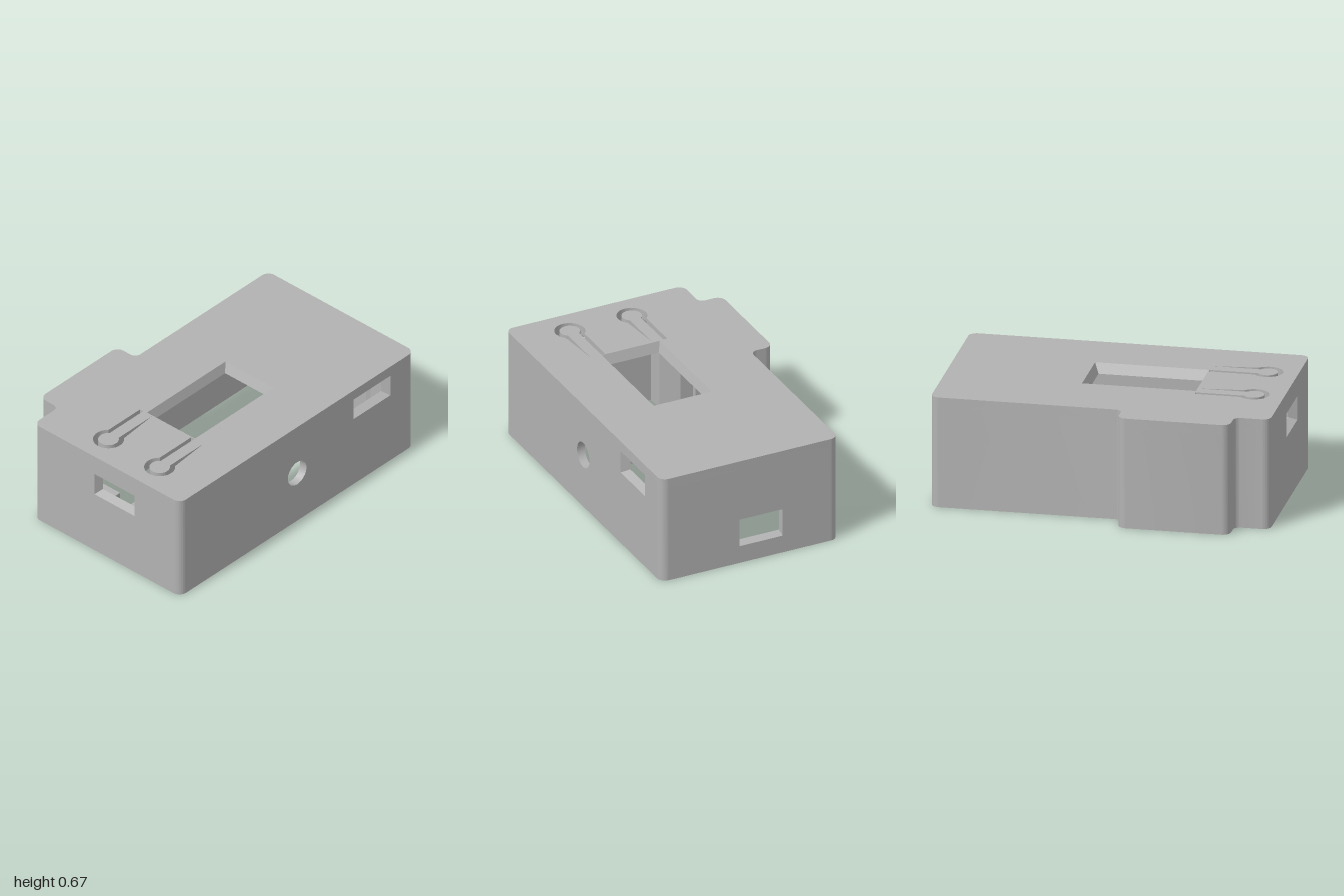
import * as THREE from 'three';
import { toCreasedNormals } from 'three/addons/utils/BufferGeometryUtils.js';

const plastic = new THREE.MeshStandardMaterial({ color: 0xb2b2b2, side: THREE.DoubleSide });
plastic.name = 'grey plastic';

const HEIGHT = 0.67, ROOF = 0.06, WALL = 0.05, CEIL = HEIGHT - ROOF;

function add(parent, name, geometry) {
  const mesh = new THREE.Mesh(geometry, plastic);
  mesh.name = name;
  parent.add(mesh);
  return mesh;
}

function extrude(shape, depth) {
  const g = new THREE.ExtrudeGeometry(shape, { depth, bevelEnabled: false, curveSegments: 10 });
  return toCreasedNormals(g, 0.5);
}

const corners = ([x0, y0, x1, y1]) => [[x0, y0], [x1, y0], [x1, y1], [x0, y1]];
const polygon = (pts, Type = THREE.Shape) => new Type(pts.map(([x, y]) => new THREE.Vector2(x, y)));

function circle(x, y, r) {
  const p = new THREE.Path();
  p.absarc(x, y, r, 0, Math.PI * 2, true);
  return p;
}

// Sloping frame of a window: outer rectangle at the face, inner rectangle behind
function bezel(outer, inner, wOut, wIn) {
  const loops = [[outer, wOut], [inner, wIn], [outer, wIn]];
  const pos = [], index = [];
  loops.forEach(([r, w]) => corners(r).forEach(([x, y]) => pos.push(x, y, w)));
  for (let k = 0; k < 2; k++) {
    for (let i = 0; i < 4; i++) {
      const a = k * 4 + i, b = k * 4 + (i + 1) % 4;
      index.push(a, b, b + 4, a, b + 4, a + 4);
    }
  }
  const g = new THREE.BufferGeometry();
  g.setAttribute('position', new THREE.Float32BufferAttribute(pos, 3));
  g.setIndex(index);
  const flat = g.toNonIndexed();
  flat.computeVertexNormals();
  return flat;
}

// Back contour from the right corner to the left one, with the bulge
function traceBack(s) {
  const q = Math.PI / 2;
  s.absarc(0.95, -0.45, 0.05, 0, -q, true);
  s.absarc(-0.09, -0.54, 0.04, q, 2 * q, false);
  s.absarc(-0.18, -0.595, 0.05, 0, -q, true);
  s.absarc(-0.74, -0.595, 0.05, -q, -2 * q, true);
  s.absarc(-0.83, -0.54, 0.04, 0, q, false);
  s.absarc(-0.95, -0.45, 0.05, -q, -2 * q, true);
}

// Key-shaped slot that frees a springy button from the roof
function buttonSlot(cx, cz) {
  const R = 0.09, r = 0.06, a = Math.asin(0.06 / R), b = Math.asin(0.035 / r);
  const end = -0.485, p = new THREE.Path();
  p.moveTo(end, cz + 0.06);
  p.absarc(cx, cz, R, a, Math.PI * 2 - a, false);
  p.lineTo(end, cz - 0.06);
  p.lineTo(end, cz - 0.035);
  p.absarc(cx, cz, r, Math.PI * 2 - b, b, true);
  p.lineTo(end, cz + 0.035);
  p.closePath();
  return p;
}

export function createModel() {
  const model = new THREE.Group();
  model.name = 'enclosure';

  // A flat panel with one bevelled window
  function panel(name, shape, depth, outer, inner, wOut) {
    const g = new THREE.Group();
    g.name = name;
    shape.holes.push(polygon(corners(outer), THREE.Path));
    add(g, name + 'Plate', extrude(shape, depth));
    add(g, name + 'WindowFrame', bezel(outer, inner, wOut, depth - wOut));
    model.add(g);
    return g;
  }

  // Horizontal outline (x, z) extruded downwards from a height
  function slab(name, shape, top, depth) {
    const m = add(model, name, extrude(shape, depth));
    m.rotation.x = Math.PI / 2;
    m.position.y = top;
  }

  // Roof with display window and two button slots
  const roofShape = new THREE.Shape();
  roofShape.moveTo(1, 0.595);
  traceBack(roofShape);
  roofShape.absarc(-0.95, 0.595, 0.05, Math.PI, Math.PI / 2, true);
  roofShape.absarc(0.95, 0.595, 0.05, Math.PI / 2, 0, true);
  roofShape.holes.push(buttonSlot(-0.82, -0.08), buttonSlot(-0.82, 0.32));
  const roof = panel('roof', roofShape, ROOF,
    [-0.48, -0.09, 0.19, 0.285], [-0.455, -0.07, 0.165, 0.26], 0);
  roof.rotation.x = Math.PI / 2;
  roof.position.y = HEIGHT;

  // Front wall with a socket window and a round hole
  const frontShape = polygon(corners([-0.95, 0, 0.95, CEIL]));
  frontShape.holes.push(circle(0, 0.34, 0.08));
  panel('frontWall', frontShape, WALL,
    [0.48, 0.465, 0.795, 0.605], [0.505, 0.485, 0.77, 0.59], WALL).position.z = 0.595;

  // End walls, each with a window
  const endShape = () => polygon(corners([-0.45, 0, 0.595, CEIL]));
  const leftEnd = panel('leftWall', endShape(), WALL,
    [-0.14, 0.11, 0.14, 0.285], [-0.14, 0.125, 0.14, 0.275], 0);
  leftEnd.position.x = 1;
  const rightEnd = panel('rightWall', endShape(), WALL,
    [-0.025, 0.4, 0.29, 0.545], [-0.005, 0.42, 0.27, 0.525], WALL);
  rightEnd.position.x = -0.95;
  for (const e of [leftEnd, rightEnd]) e.rotation.y = -Math.PI / 2;

  // Back wall following the bulge
  const back = new THREE.Shape();
  back.moveTo(0.95, -0.45);
  back.lineTo(1, -0.45);
  traceBack(back);
  for (const [x, z] of [[-0.95, -0.45], [-0.74, -0.45], [-0.74, -0.595], [-0.18, -0.595], [-0.18, -0.45]]) {
    back.lineTo(x, z);
  }
  back.closePath();
  slab('backWall', back, CEIL, CEIL);

  // Rounded front corners
  for (const s of [1, -1]) {
    const c = new THREE.Shape();
    c.moveTo(s * 0.95, 0.595);
    c.absarc(s * 0.95, 0.595, 0.05, s > 0 ? 0 : Math.PI, Math.PI / 2, s < 0);
    c.closePath();
    slab('frontCorner', c, CEIL, CEIL);
  }

  // Screw posts in two opposite corners
  for (const [s, cz] of [[1, 0.526], [-1, -0.378]]) {
    const wallZ = s > 0 ? 0.595 : -0.45;
    const post = polygon([[0.95, wallZ], [0.77, wallZ], [0.77, wallZ - s * 0.08],
      [0.84, wallZ - s * 0.18], [0.95, wallZ - s * 0.18]].map(([x, z]) => [s * x, z]));
    post.holes.push(circle(s * 0.866, cz, 0.04));
    slab('screwPost', post, CEIL, CEIL);
  }

  // Inner beam along the front, and ribs on the right end wall
  function block(name, x0, x1, y0, y1, z0, z1) {
    add(model, name, new THREE.BoxGeometry(x1 - x0, y1 - y0, z1 - z0))
      .position.set((x0 + x1) / 2, (y0 + y1) / 2, (z0 + z1) / 2);
  }
  block('innerBeam', -0.95, 0.3, 0.39, CEIL, 0.46, 0.595);
  block('rib', -0.95, -0.89, 0, 0.4, -0.055, 0.075);
  block('rib', -0.95, -0.89, 0, 0.4, 0.195, 0.325);

  // Small sloped ledge inside the back wall
  const ledge = add(model, 'backLedge',
    extrude(polygon([[0, 0.51], [0.05, 0.56], [0, 0.56]]), 0.27));
  ledge.rotation.y = -Math.PI / 2;
  ledge.position.set(0.775, 0, -0.45);

  return model;
}
